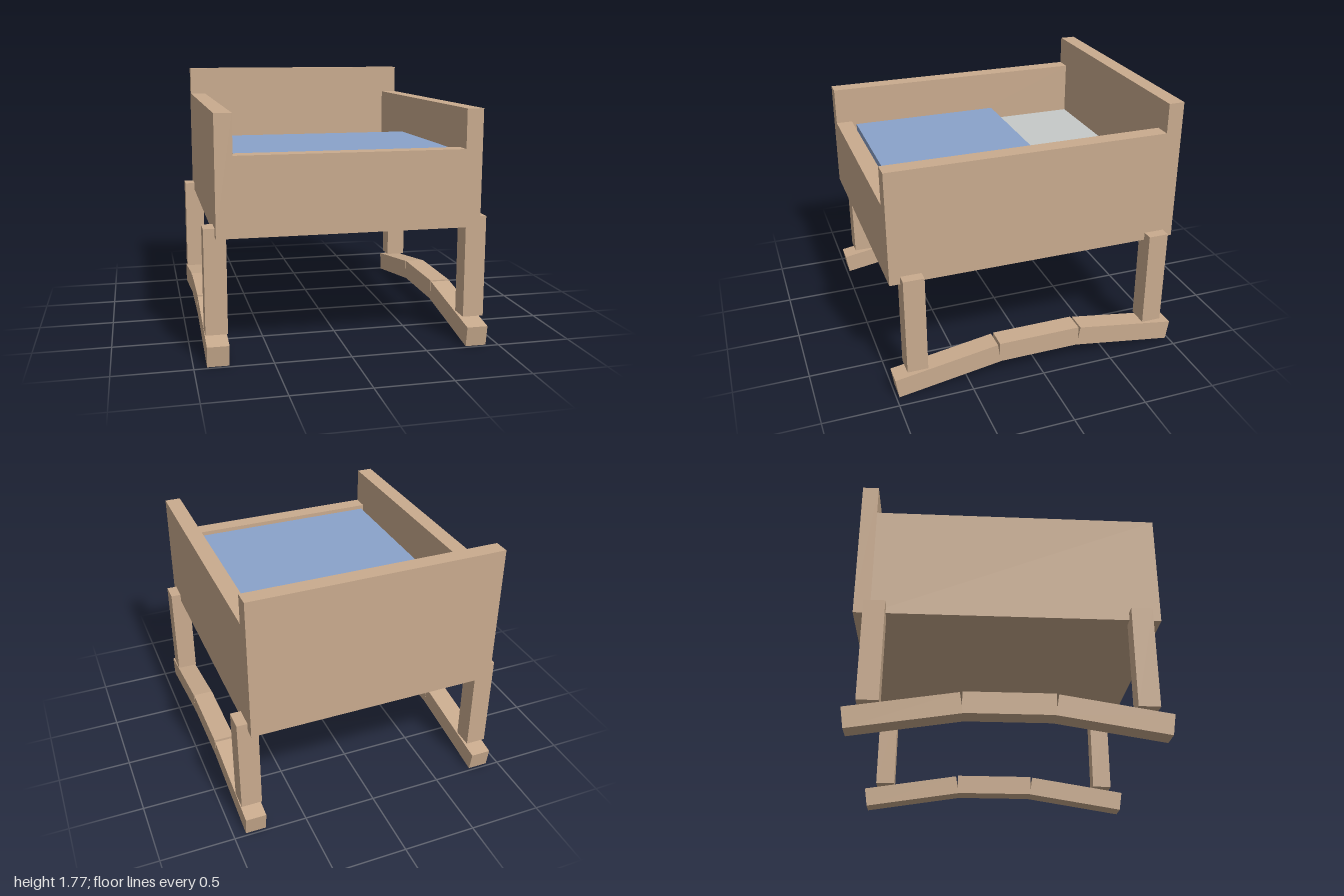
import * as THREE from 'three';

export function createModel() {
  const model = new THREE.Group();
  model.name = 'rockingCradle';

  const paint = (name, color) => {
    const m = new THREE.MeshStandardMaterial({ color });
    m.name = name;
    return m;
  };
  const wood = paint('lightWood', 0xc9ab8e);
  const sheet = paint('greySheet', 0xc6c9c8);
  const cloth = paint('blueBlanket', 0x8aa3cb);

  // Box given by its lower and upper limits on each axis
  const box = (name, material, [x0, x1], [y0, y1], [z0, z1], parent = model) => {
    const mesh = new THREE.Mesh(new THREE.BoxGeometry(x1 - x0, y1 - y0, z1 - z0), material);
    mesh.position.set((x0 + x1) / 2, (y0 + y1) / 2, (z0 + z1) / 2);
    mesh.name = name;
    parent.add(mesh);
    return mesh;
  };

  const W = 0.847, IN = 0.737, Z = 0.987, BOTTOM = 0.81;

  // Cradle box: tall headboard, low footboard, side walls and floor
  box('headboard', wood, [-W, W], [BOTTOM, 1.77], [-Z, -0.88]);
  box('footboard', wood, [-IN, IN], [BOTTOM, 1.315], [0.873, Z]);
  box('floor', wood, [-IN, IN], [BOTTOM, 0.92], [-0.88, 0.873]);
  box('leftWall', wood, [IN, W], [BOTTOM, 1.57], [-0.88, Z]);
  box('rightWall', wood, [-W, -IN], [BOTTOM, 1.57], [-0.88, Z]);

  // Bedding
  box('mattress', sheet, [-IN, IN], [0.92, 1.2], [-0.88, 0.873]);
  box('blanket', cloth, [-0.708, 0.708], [1.2, 1.3], [-0.23, 0.845]);

  // Legs and three-piece rockers on each side
  for (const side of [1, -1]) {
    const stand = new THREE.Group();
    stand.name = side > 0 ? 'leftStand' : 'rightStand';
    stand.position.x = side * 0.848;
    model.add(stand);

    const across = [-0.07, 0.07];
    box('rockerMiddle', wood, across, [0.117, 0.256], [-0.285, 0.285], stand);
    for (const end of [1, -1]) {
      const place = end > 0 ? 'front' : 'back';
      const z = end > 0 ? [0.78, 0.918] : [-0.918, -0.78];
      box(place + 'Leg', wood, across, [0.187, 0.863], z, stand);

      const beam = box(place + 'Rocker', wood, across, [0.0595, 0.1965], [-0.355, 0.355], stand);
      beam.position.z = end * 0.64;
      beam.rotation.x = end * 0.157;
    }
  }
  return model;
}
